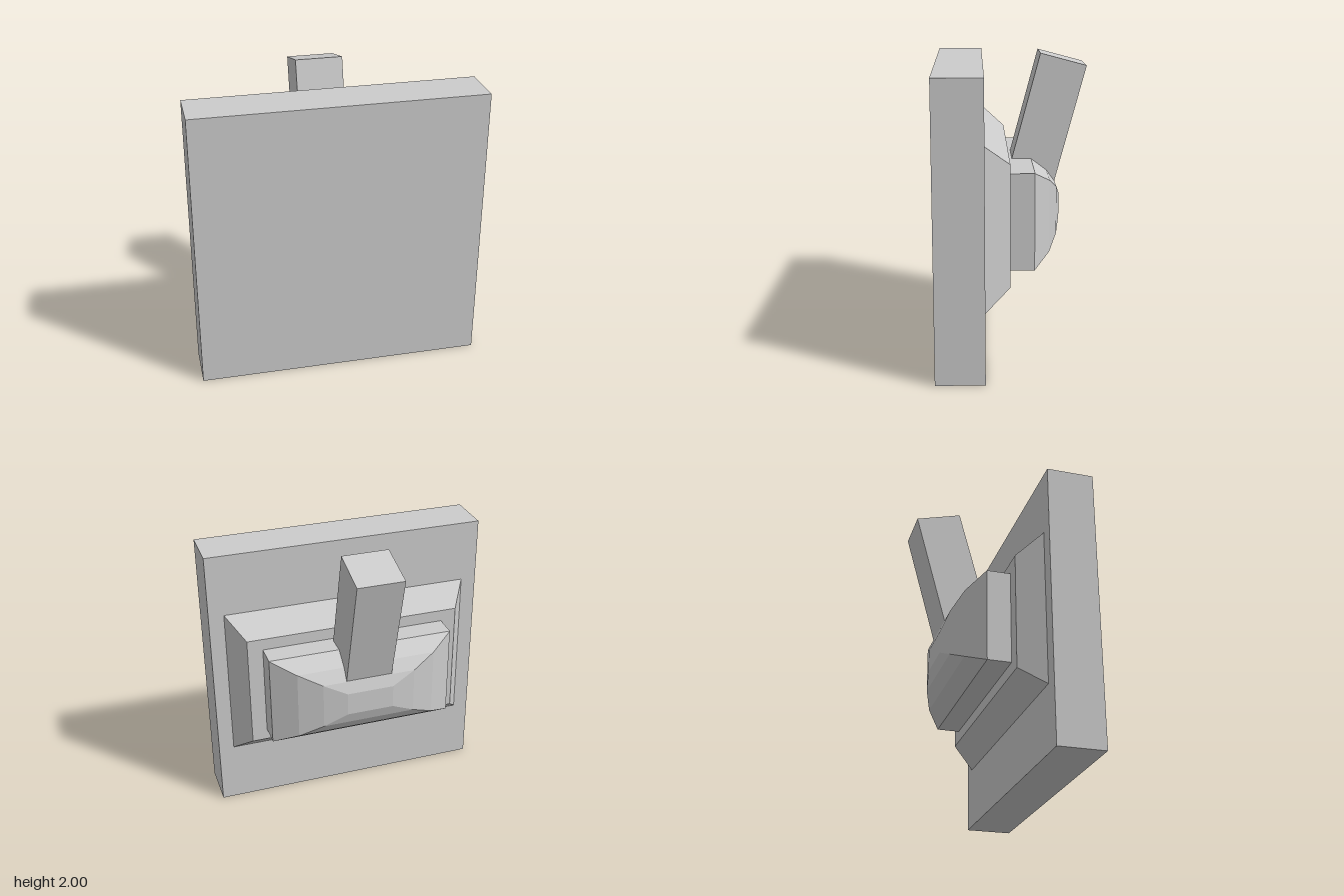
import * as THREE from 'three';

const MID = 0.97; // height of the switch centre

// Stacks rectangular rings [halfWidth, halfHeight, z] from front to back and caps both ends.
function loftRings(rings) {
  const positions = [];
  const index = [];
  for (const [w, h, z] of rings) positions.push(w, h, z, -w, h, z, -w, -h, z, w, -h, z);
  for (let i = 0; i < rings.length - 1; i++) {
    for (let k = 0; k < 4; k++) {
      const a = i * 4 + k, b = i * 4 + (k + 1) % 4;
      index.push(a, b + 4, b, a, a + 4, b + 4);
    }
  }
  const e = (rings.length - 1) * 4;
  index.push(0, 1, 2, 0, 2, 3, e, e + 2, e + 1, e, e + 3, e + 2);
  const indexed = new THREE.BufferGeometry();
  indexed.setAttribute('position', new THREE.Float32BufferAttribute(positions, 3));
  indexed.setIndex(index);
  const geometry = indexed.toNonIndexed();
  geometry.computeVertexNormals();
  return geometry;
}

export function createModel() {
  const group = new THREE.Group();
  const material = new THREE.MeshStandardMaterial({ color: 0xcccccc, flatShading: true });

  function add(name, geometry, y, z) {
    const mesh = new THREE.Mesh(geometry, material);
    mesh.name = name;
    mesh.position.set(0, y, z);
    group.add(mesh);
    return mesh;
  }

  // Square wall plate
  add('plate', new THREE.BoxGeometry(1.93, 1.935, 0.32), 0.9675, 0.348);

  // Bevelled step behind the plate
  add('bevelledBase', loftRings([[0.86, 0.535, 0.188], [0.75, 0.4, 0.025]]), MID, 0);

  // Block whose back swells into a four-sided dome
  const W = 0.645, H = 0.32;
  const dome = [[1, 0.025], [1, -0.135], [0.75, -0.24], [0.5, -0.297], [0.25, -0.325]];
  add('domedBlock', loftRings(dome.map(([s, z]) => [W * s, H * s, z])), MID, 0);

  // Tilted lever, its lower end sunk into the dome
  const length = 1.0, tilt = Math.PI / 12;
  const lever = add('lever', new THREE.BoxGeometry(0.32, length, 0.32),
    1.96 - Math.cos(tilt) * length / 2, -0.35 + Math.sin(tilt) * length / 2);
  lever.rotation.x = -tilt;

  return group;
}
